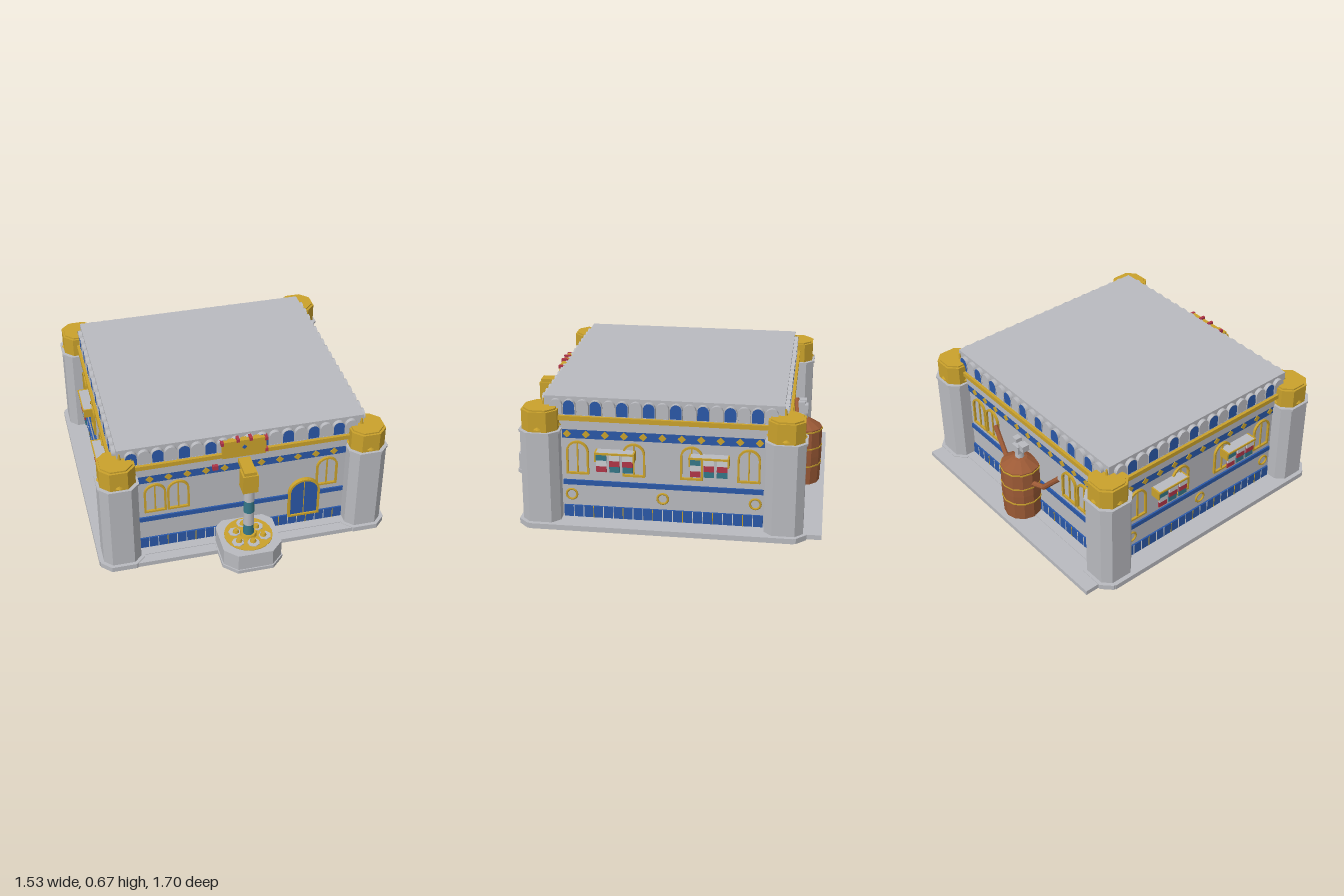
import * as THREE from 'three';

const mat = (name, color) => {
  const m = new THREE.MeshStandardMaterial({ color });
  m.name = name;
  return m;
};

export function createModel() {
  const stone = mat('stone', 0xb9babf), gold = mat('gold', 0xcaa22c), blue = mat('blue', 0x2a58a8);
  const teal = mat('teal', 0x347788), red = mat('red', 0xb03548), copper = mat('copper', 0x9c5a36);
  const pale = mat('pale', 0xcbcdd1);
  copper.flatShading = true;
  const root = new THREE.Group();
  root.name = 'building';

  const add = (parent, name, geo, material, x = 0, y = 0, z = 0) => {
    const m = new THREE.Mesh(geo, material);
    m.name = name;
    m.position.set(x, y, z);
    parent.add(m);
    return m;
  };
  const box = (p, name, m, w, h, d, x, y, z) => add(p, name, new THREE.BoxGeometry(w, h, d), m, x, y, z);
  const cyl = (p, name, m, rt, rb, h, n, x, y, z) =>
    add(p, name, new THREE.CylinderGeometry(rt, rb, h, n), m, x, y, z);
  // Round arch outline with its foot at y = o
  const arch = (w, h, o = 0) => {
    const s = new THREE.Shape(), r = w / 2;
    s.moveTo(-r, o);
    s.lineTo(r, o);
    s.lineTo(r, h - r);
    s.absarc(0, h - r, r, 0, Math.PI, false);
    s.closePath();
    return s;
  };
  const extrude = (shape, depth) =>
    new THREE.ExtrudeGeometry(shape, { depth, bevelEnabled: false, curveSegments: 8 });
  const archFrame = (w, h, t, depth) => {
    const s = arch(w, h);
    s.holes.push(arch(w - 2 * t, h - t, t));
    return extrude(s, depth);
  };
  // Chamfered square prism for the towers and basin
  const prism = (a, c, h) => {
    const pts = [[a, -a + c], [a, a - c], [a - c, a], [-a + c, a], [-a, a - c], [-a, -a + c], [-a + c, -a], [a - c, -a]];
    const g = extrude(new THREE.Shape(pts.map(p => new THREE.Vector2(...p))), h);
    return g.rotateX(-Math.PI / 2);
  };

  // Platform, walls and roof block
  box(root, 'platformLong', stone, 1.4, 0.025, 1.52, 0, 0.0125, -0.04);
  box(root, 'platformWide', stone, 1.53, 0.028, 1.33, 0, 0.014, 0);
  box(root, 'walls', stone, 1.29, 0.535, 1.21, 0, 0.2925, 0);
  box(root, 'roofBlock', stone, 1.27, 0.12, 1.19, 0, 0.61, 0);

  // Corner towers with gilded caps
  for (const sx of [-1, 1]) for (const sz of [-1, 1]) {
    const t = new THREE.Group();
    t.name = 'cornerTower';
    t.position.set(sx * 0.645, 0, sz * 0.61);
    root.add(t);
    add(t, 'towerFoot', prism(0.115, 0.05, 0.028), stone);
    add(t, 'towerShaft', prism(0.097, 0.04, 0.485), stone, 0, 0.025);
    add(t, 'towerCollar', prism(0.104, 0.046, 0.012), stone, 0, 0.498);
    add(t, 'towerCap', prism(0.09, 0.045, 0.104), gold, 0, 0.51);
    add(t, 'capTop', prism(0.08, 0.042, 0.008), gold, 0, 0.614);
    cyl(t, 'finial', gold, 0.004, 0.01, 0.035, 6, -sx * 0.022, 0.635, -sz * 0.01);
    for (let i = 0; i < 4; i++) {
      const b = new THREE.Group();
      b.name = 'capBoss';
      b.rotation.y = i * Math.PI / 2;
      t.add(b);
      cyl(b, 'boss', gold, 0.006, 0.024, 0.025, 8, 0, 0.535, 0.076);
    }
  }

  // Decorated face, built towards +z with its wall plane at local z = 0
  const facade = (name, angle, dist, half, arches, windows) => {
    const f = new THREE.Group();
    f.name = name;
    f.rotation.y = angle;
    f.position.set(Math.sin(angle) * dist, 0, Math.cos(angle) * dist);
    root.add(f);
    const w = 2 * half, inner = w - 0.18;
    box(f, 'tileBand', blue, inner, 0.062, 0.009, 0, 0.059, 0.0045);
    const nt = Math.round(inner / 0.05);
    for (let i = 1; i < nt; i++)
      box(f, 'tileJoint', i % 3 ? pale : gold, 0.004, 0.062, 0.004, -inner / 2 + i * inner / nt, 0.059, 0.009);
    box(f, 'blueStripe', blue, inner, 0.026, 0.009, 0, 0.217, 0.0045);
    box(f, 'frieze', blue, inner, 0.046, 0.009, 0, 0.48, 0.0045);
    const nd = Math.round(inner / 0.096);
    for (let i = 0; i < nd; i++) {
      const d = box(f, 'friezeDiamond', gold, 0.029, 0.029, 0.006, (i - (nd - 1) / 2) * 0.096, 0.48, 0.009);
      d.rotation.z = Math.PI / 4;
    }
    box(f, 'friezeLedge', stone, inner, 0.05, 0.014, 0, 0.53, 0.007);
    box(f, 'cornice', gold, w, 0.024, 0.04, 0, 0.567, 0.005);
    // Alternating blind arches under the roof edge
    for (let i = 0; i < arches; i++) {
      const x = (i - (arches - 1) / 2) * 0.0667;
      const isBlue = i % 2 === (arches % 2 ? 1 : 0);
      add(f, 'roofArch', extrude(arch(0.058, 0.077), 0.021), isBlue ? blue : stone, x, 0.579, -0.012);
      add(f, 'roofArchRim', archFrame(0.063, 0.08, 0.003, 0.022), stone, x, 0.579, -0.012);
    }
    for (const x of windows) {
      add(f, 'windowFrame', archFrame(0.114, 0.178, 0.01, 0.012), gold, x, 0.264, 0);
      box(f, 'windowMullion', gold, 0.007, 0.165, 0.008, x, 0.349, 0.004);
    }
    return f;
  };

  // Side faces: windows, portholes and laundry racks
  for (const s of [-1, 1]) {
    const f = facade(s > 0 ? 'leftFace' : 'rightFace', s * Math.PI / 2, 0.645, 0.595, 17, [-0.43, -0.145, 0.145, 0.43]);
    for (const x of [-0.465, 0, 0.465])
      add(f, 'porthole', new THREE.TorusGeometry(0.027, 0.006, 6, 16), gold, x, 0.15, 0.003);
    for (const x of [-0.235, 0.235]) {
      const r = new THREE.Group();
      r.name = 'laundryRack';
      r.position.set(x, 0, 0);
      f.add(r);
      box(r, 'rackRail', gold, 0.2, 0.01, 0.006, 0, 0.4, 0.058);
      for (const e of [-0.096, 0.096]) box(r, 'rackArm', gold, 0.008, 0.05, 0.056, e, 0.38, 0.028);
      box(r, 'rackShelf', stone, 0.186, 0.008, 0.055, 0, 0.4, 0.0275);
      const cloths = [[teal, pale, red], [pale, red, teal], [pale, red, teal]];
      cloths.forEach((c, i) => c.forEach((m, j) =>
        box(r, 'cloth', m, 0.052, 0.032, 0.007, (i - 1) * 0.066, 0.38 - j * 0.032, 0.053 - j * 0.003)));
    }
  }

  // Front face: windows, arched door and gilded sign
  const front = facade('frontFace', 0, 0.605, 0.635, 18, [-0.455, -0.335, 0.45]);
  add(front, 'door', extrude(arch(0.15, 0.228), 0.014), blue, 0.33, 0.09);
  add(front, 'doorFrame', archFrame(0.168, 0.24, 0.011, 0.022), gold, 0.33, 0.086);
  box(front, 'doorSeam', gold, 0.004, 0.21, 0.004, 0.33, 0.2, 0.014);
  box(front, 'signBoard', gold, 0.225, 0.1, 0.03, 0, 0.603, 0.015);
  const gem = box(front, 'signGem', blue, 0.018, 0.018, 0.006, 0, 0.613, 0.031);
  gem.rotation.z = Math.PI / 4;
  for (const [x, y] of [[-0.033, 0.656], [0.033, 0.656], [-0.113, 0.645], [0.113, 0.645], [0.115, 0.575]])
    box(front, 'signStud', red, 0.015, 0.018, 0.034, x, y, 0.018);
  box(front, 'wallLamp', red, 0.028, 0.026, 0.025, -0.148, 0.503, 0.02);

  // Back face
  facade('backFace', Math.PI, 0.605, 0.635, 18, [-0.455, -0.335, 0.335, 0.455]);

  // Fountain with banded column and gilded spout
  const fountain = new THREE.Group();
  fountain.name = 'fountain';
  fountain.position.set(0, 0, 0.738);
  root.add(fountain);
  add(fountain, 'basinFoot', prism(0.158, 0.065, 0.02), stone, 0, 0.008);
  add(fountain, 'basin', prism(0.152, 0.062, 0.095), stone, 0, 0.025);
  cyl(fountain, 'basinUnderside', teal, 0.14, 0.14, 0.012, 24, 0, 0.006, 0);
  cyl(fountain, 'basinFloor', gold, 0.125, 0.125, 0.004, 24, 0, 0.121, 0);
  for (let i = 0; i < 6; i++) {
    const a = i * Math.PI / 3 + 0.4, r = i % 2 ? 0.072 : 0.085;
    const x = Math.cos(a) * r, z = Math.sin(a) * r;
    cyl(fountain, 'basinStone', stone, 0.032, 0.033, 0.005, 7, x, 0.124, z);
    cyl(fountain, 'waterJet', gold, 0.012, 0.018, 0.016, 8, x * 0.9, 0.133, z * 0.9);
  }
  cyl(fountain, 'columnFoot', gold, 0.04, 0.045, 0.016, 12, 0, 0.13, 0);
  [[0.138, 0.2, teal], [0.2, 0.282, stone], [0.282, 0.355, teal], [0.355, 0.43, stone]].forEach(([a, b, m]) =>
    cyl(fountain, 'columnBand', m, 0.026, 0.029, b - a, 12, 0, (a + b) / 2, 0));
  box(fountain, 'spoutHead', gold, 0.08, 0.105, 0.075, 0, 0.472, -0.008);
  box(fountain, 'spoutTop', gold, 0.062, 0.03, 0.13, 0, 0.527, -0.043);

  // Copper boiler with hoops, bent pipes and vent blocks
  const boiler = new THREE.Group();
  boiler.name = 'boiler';
  boiler.position.set(0, 0, -0.673);
  root.add(boiler);
  const profile = [[0, 0.025], [0.1, 0.025], [0.105, 0.18], [0.103, 0.335], [0.04, 0.375], [0, 0.385]];
  add(boiler, 'boilerTank', new THREE.LatheGeometry(profile.map(p => new THREE.Vector2(...p)), 12), copper);
  for (const y of [0.13, 0.23, 0.325])
    cyl(boiler, 'boilerHoop', gold, 0.107, 0.107, 0.007, 12, 0, y, 0);
  for (const s of [-1, 1]) {
    const pts = [[0.08, 0.25, 0], [0.165, 0.26, 0.025], [0.28, 0.385, 0.045]].map(([x, y, z]) => new THREE.Vector3(s * x, y, z));
    for (let i = 0; i < 2; i++)
      add(boiler, 'sidePipe', new THREE.TubeGeometry(new THREE.LineCurve3(pts[i], pts[i + 1]), 1, 0.014, 8), copper);
    add(boiler, 'pipeElbow', new THREE.SphereGeometry(0.0145, 8, 6), copper, pts[1].x, pts[1].y, pts[1].z);
  }
  cyl(boiler, 'ventNeck', stone, 0.02, 0.025, 0.04, 8, 0, 0.4, 0);
  box(boiler, 'ventBlock', stone, 0.05, 0.045, 0.05, 0, 0.435, 0);
  box(boiler, 'ventBlockSide', stone, 0.04, 0.035, 0.04, -0.035, 0.455, 0.005);
  box(boiler, 'ventBlockTop', stone, 0.035, 0.03, 0.035, 0.028, 0.465, 0.01);

  return root;
}
